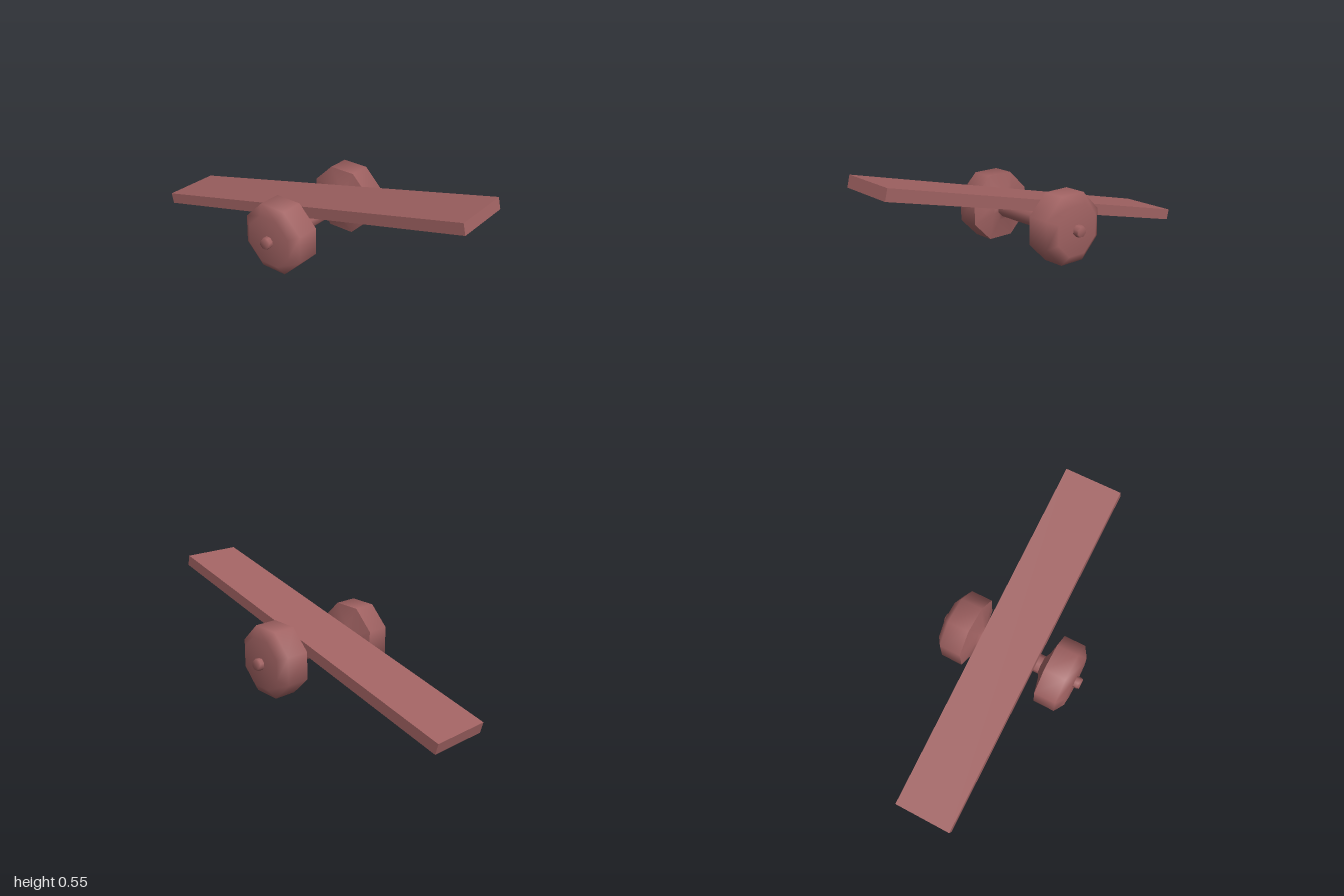
import * as THREE from 'three';

const SIDES = 8;
const material = new THREE.MeshStandardMaterial({ color: 0xa06262 });

// Eight-sided turned part along z; profile lists [apothem, z] with z rising
function turned(name, profile) {
  const k = 1 / Math.cos(Math.PI / SIDES);
  const points = profile.map(([r, z]) => new THREE.Vector2(r * k, z));
  const geometry = new THREE.LatheGeometry(points, SIDES, Math.PI / SIDES);
  geometry.rotateX(Math.PI / 2);
  const mesh = new THREE.Mesh(geometry, material);
  mesh.name = name;
  return mesh;
}

// Wheel with flared hub, bevelled rim and a short axle pin
function wheel(name) {
  const group = new THREE.Group();
  group.name = name;
  group.add(
    turned('hub', [[0.049, 0.183], [0.072, 0.197], [0.183, 0.226]]),
    turned('rim', [[0.183, 0.226], [0.183, 0.35], [0.132, 0.386], [0, 0.386]]),
    turned('pin', [[0.03, 0.38], [0.03, 0.408], [0.026, 0.42], [0, 0.42]])
  );
  return group;
}

export function createModel() {
  const model = new THREE.Group();
  model.name = 'seesaw';

  // Tilted plank resting on the axle
  const plank = new THREE.Mesh(new THREE.BoxGeometry(2.045, 0.062, 0.329), material);
  plank.name = 'plank';
  plank.position.set(0, 0.276, -0.0075);
  plank.rotation.z = Math.atan2(0.49, 1.985);
  model.add(plank);

  // Axle with a wheel at each end
  const wheelset = new THREE.Group();
  wheelset.name = 'wheelset';
  wheelset.position.set(0.017, 0.198, 0);
  const frontWheel = wheel('frontWheel');
  const backWheel = wheel('backWheel');
  backWheel.rotation.y = Math.PI;
  wheelset.add(turned('axle', [[0.049, -0.183], [0.049, 0.183]]), frontWheel, backWheel);
  model.add(wheelset);

  return model;
}
